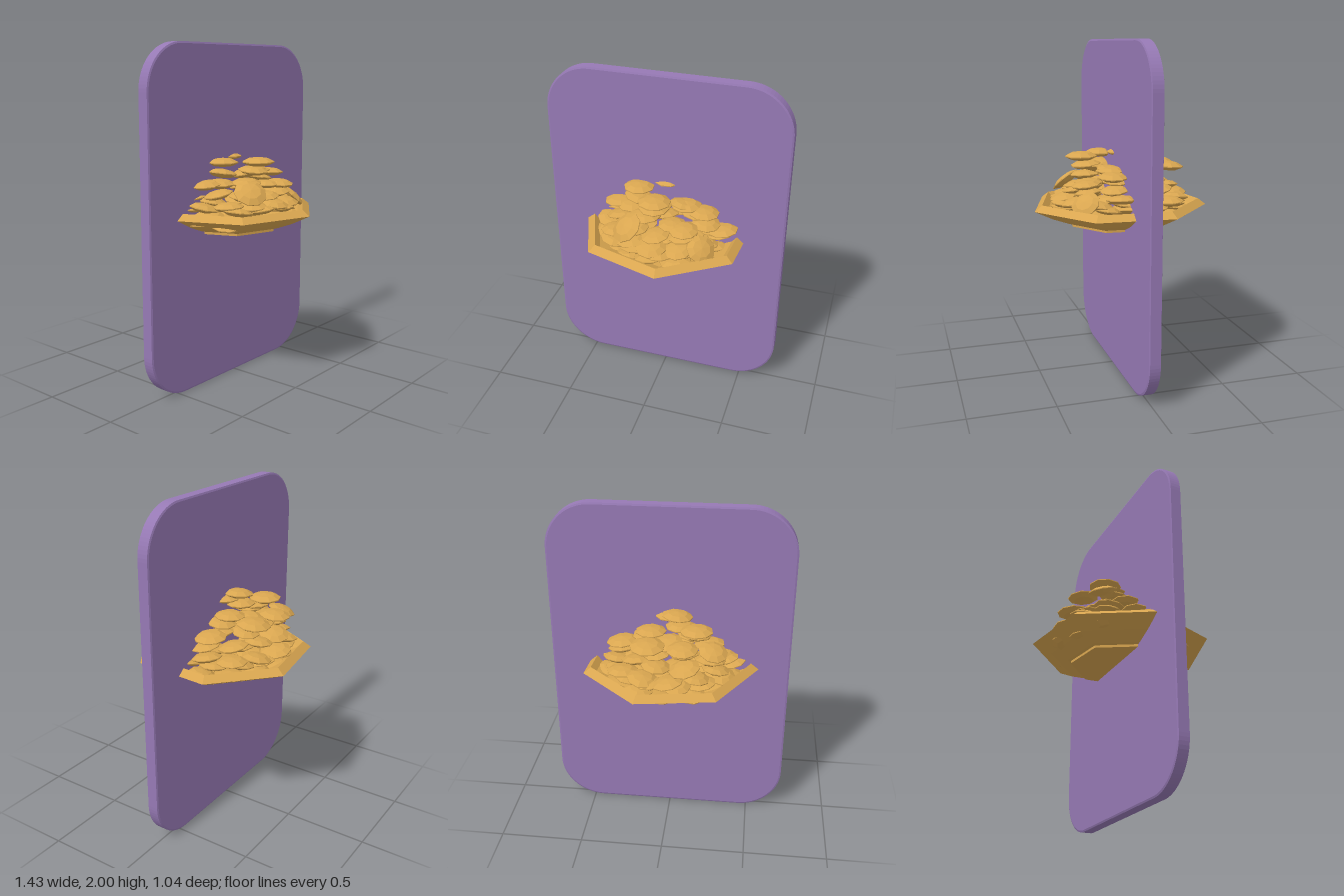
import * as THREE from 'three';

export function createModel() {
  const model = new THREE.Group();
  const purple = new THREE.MeshStandardMaterial({ color: 0x9679b4 });
  const gold = new THREE.MeshStandardMaterial({ color: 0xd9a650 });
  gold.flatShading = true;

  // Upright rounded panel with a narrow bevel
  const bevel = 0.01, w = 0.715 - bevel, h = 1 - bevel, r = 0.26;
  const outline = new THREE.Shape();
  outline.absarc(w - r, h - r, r, 0, Math.PI / 2);
  outline.absarc(-w + r, h - r, r, Math.PI / 2, Math.PI);
  outline.absarc(-w + r, -h + r, r, Math.PI, Math.PI * 1.5);
  outline.absarc(w - r, -h + r, r, Math.PI * 1.5, Math.PI * 2);
  const panelGeo = new THREE.ExtrudeGeometry(outline, {
    depth: 0.062, bevelEnabled: true, bevelThickness: 0.004,
    bevelSize: bevel, bevelSegments: 1, curveSegments: 10,
  });
  const panel = new THREE.Mesh(panelGeo, purple);
  panel.name = 'roundedPanel';
  panel.position.set(0, 1, -0.031);
  model.add(panel);

  // Seven-sided shallow dish, outside from the foot up, then inside to the centre
  const profile = [
    [0, 0.91], [0.3, 0.91], [0.3, 0.925], [0.32, 0.928], [0.42, 0.965],
    [0.533, 1.02], [0.487, 1.055], [0.455, 1.02], [0.36, 0.98], [0, 0.965],
  ].map(([x, y]) => new THREE.Vector2(x, y));
  const dish = new THREE.Mesh(new THREE.LatheGeometry(profile, 7, 0.157), gold);
  dish.name = 'dish';
  dish.position.z = -0.004;
  model.add(dish);

  // Lens-shaped faceted coin
  const coinProfile = [[0, -0.3], [0.62, -0.22], [1, -0.03], [1, 0.03], [0.62, 0.22], [0, 0.3]]
    .map(([x, y]) => new THREE.Vector2(x, y));
  const coinGeo = new THREE.LatheGeometry(coinProfile, 9);
  const pile = new THREE.Group();
  pile.name = 'coinPile';
  model.add(pile);

  let seed = 17;
  const rand = () => (seed = (seed * 16807) % 2147483647) / 2147483647;
  const jitter = (a) => (rand() * 2 - 1) * a;

  function addCoin(x, y, z, radius, tiltX = 0, tiltZ = 0) {
    const coin = new THREE.Mesh(coinGeo, gold);
    coin.name = 'coin';
    coin.position.set(x, y, z);
    coin.rotation.set(tiltX, rand() * 6, tiltZ, 'XZY');
    coin.scale.setScalar(radius);
    pile.add(coin);
  }

  // Rings of coins filling the heap: height, ring radius, count
  const rings = [
    [1.0, 0.34, 14], [1.05, 0.34, 14], [1.09, 0.33, 14], [1.03, 0.2, 8], [1.1, 0.2, 8],
    [1.14, 0.28, 11], [1.19, 0.22, 8], [1.18, 0.1, 4], [1.24, 0.15, 6],
  ];
  for (const [y, radius, count] of rings) {
    const start = rand() * 6;
    for (let i = 0; i < count; i++) {
      const a = start + (i / count) * Math.PI * 2;
      const d = radius + jitter(0.025);
      addCoin(Math.sin(a) * d - 0.01, y + jitter(0.018), Math.cos(a) * d - 0.01,
        0.082 + rand() * 0.012, jitter(0.2), jitter(0.2));
    }
  }

  // Top coins: x, y, z, radius, tilts
  const topCoins = [
    [-0.05, 1.365, -0.08, 0.09, 0, 0.1], [-0.01, 1.322, 0.22, 0.095, 0, 0],
    [-0.02, 1.27, 0.19, 0.09, 0.1, 0], [-0.17, 1.325, -0.19, 0.095, 0, 0],
    [-0.15, 1.32, 0.07, 0.09, 0, 0], [0.0, 1.34, -0.02, 0.085, 0, 0],
    [-0.16, 1.27, -0.12, 0.09, 0.1, 0.1], [-0.07, 1.3, -0.08, 0.09, 0, 0],
    [0.1, 1.26, -0.28, 0.1, -0.1, 0], [0.14, 1.25, 0.08, 0.09, 0, 0],
    [0.25, 1.23, 0.1, 0.09, 0, -0.05], [0.27, 1.2, -0.1, 0.095, 0, -0.1],
    [0.17, 1.18, 0.24, 0.085, 0.1, 0], [0.36, 1.12, 0.08, 0.09, 0, 0.1],
    [-0.16, 1.16, 0.28, 0.095, 0.6, 0.4], [0.28, 1.09, 0.27, 0.085, 0.6, -0.5],
    [-0.1, 1.26, -0.3, 0.09, -0.1, 0], [-0.27, 1.23, -0.25, 0.085, -0.3, 0.2],
    [-0.28, 1.2, 0.05, 0.09, 0, 0.1], [0.1, 1.28, -0.12, 0.09, 0, 0],
  ];
  for (const c of topCoins) addCoin(...c);

  return model;
}
